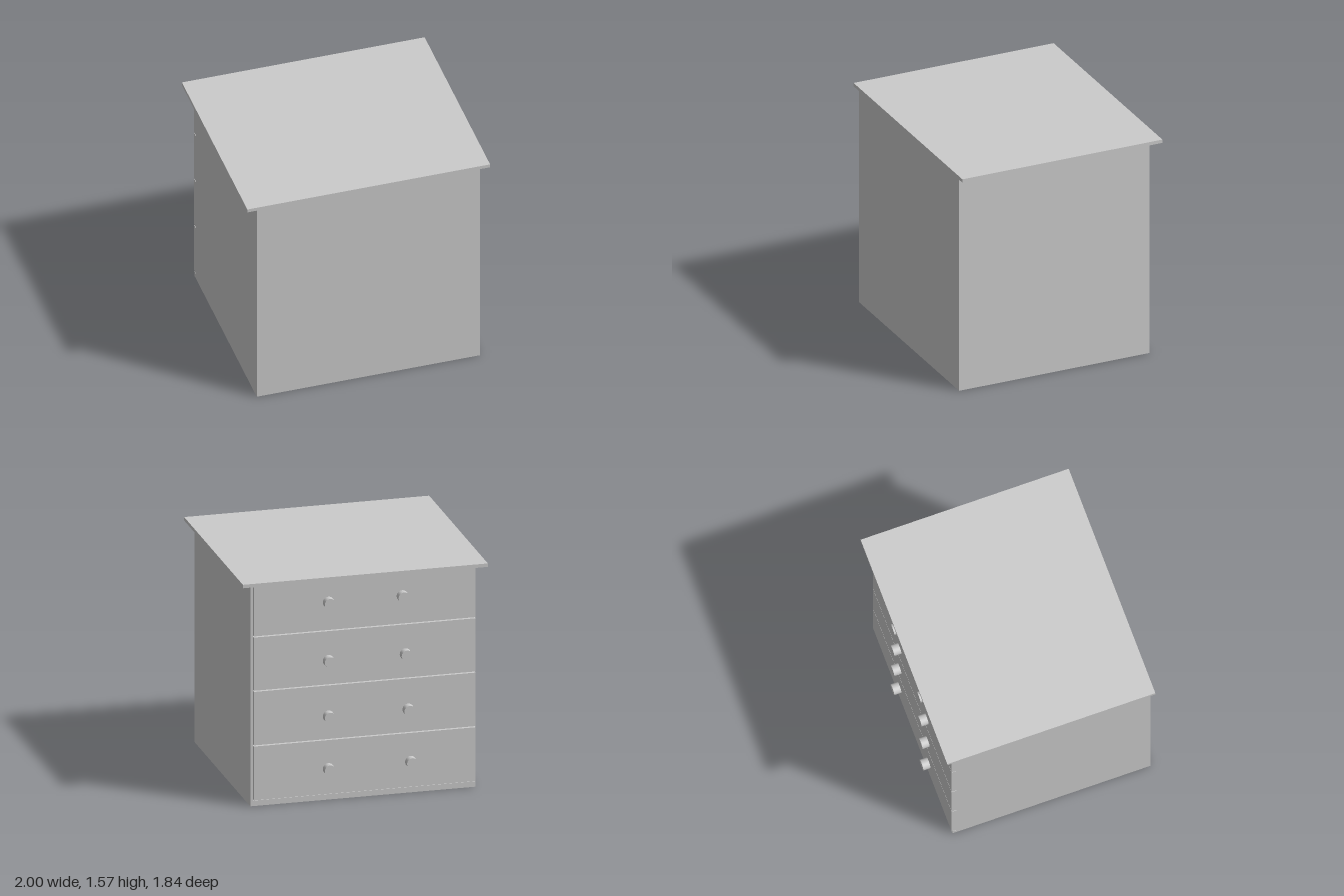
import * as THREE from 'three';

const material = new THREE.MeshStandardMaterial({ color: 0xcccccc });

// Box given by its lower and upper bounds on each axis
function addBox(parent, name, [x0, x1], [y0, y1], [z0, z1]) {
  const mesh = new THREE.Mesh(new THREE.BoxGeometry(x1 - x0, y1 - y0, z1 - z0), material);
  mesh.position.set((x0 + x1) / 2, (y0 + y1) / 2, (z0 + z1) / 2);
  mesh.name = name;
  parent.add(mesh);
  return mesh;
}

export function createModel() {
  const model = new THREE.Group();
  model.name = 'chestOfDrawers';

  // The whole chest stands turned by 15 degrees, drawers towards the back
  const chest = new THREE.Group();
  chest.name = 'chest';
  chest.rotation.y = -Math.PI / 12;
  model.add(chest);

  const half = 0.77, panel = 0.02;
  const backZ = 0.721, bodyZ = -0.64, frameZ = -0.668, drawerZ = -0.675;
  const slabY = 1.543;

  // Carcass, base, side edge and top
  addBox(chest, 'carcass', [-half, half], [0, slabY], [bodyZ, backZ]);
  addBox(chest, 'base', [-half, half], [0, 0.038], [frameZ, bodyZ]);
  addBox(chest, 'sidePanelEdge', [half - panel, half], [0.038, slabY], [frameZ, bodyZ]);
  addBox(chest, 'top', [-0.838, 0.838], [slabY, 1.567], [-0.73, 0.73]);

  // Drawers from bottom to top: lower edge, upper edge, knob height, outer knob x
  const drawers = [
    [0.042, 0.416, 0.218, -0.325],
    [0.424, 0.796, 0.584, -0.307],
    [0.804, 1.174, 0.97, -0.288],
    [1.182, 1.54, 1.376, -0.267],
  ];
  const knobLength = 0.05;
  const knobGeometry = new THREE.CylinderGeometry(0.038, 0.038, knobLength, 24);
  knobGeometry.rotateX(-Math.PI / 2);

  for (const [y0, y1, knobY, knobX] of drawers) {
    const drawer = new THREE.Group();
    drawer.name = 'drawer';
    chest.add(drawer);
    addBox(drawer, 'drawerFront', [-half, half - panel - 0.003], [y0, y1], [drawerZ, bodyZ]);
    for (const x of [0.238, knobX]) {
      const knob = new THREE.Mesh(knobGeometry, material);
      knob.name = 'knob';
      knob.position.set(x, knobY, drawerZ - knobLength / 2);
      drawer.add(knob);
    }
  }
  return model;
}
